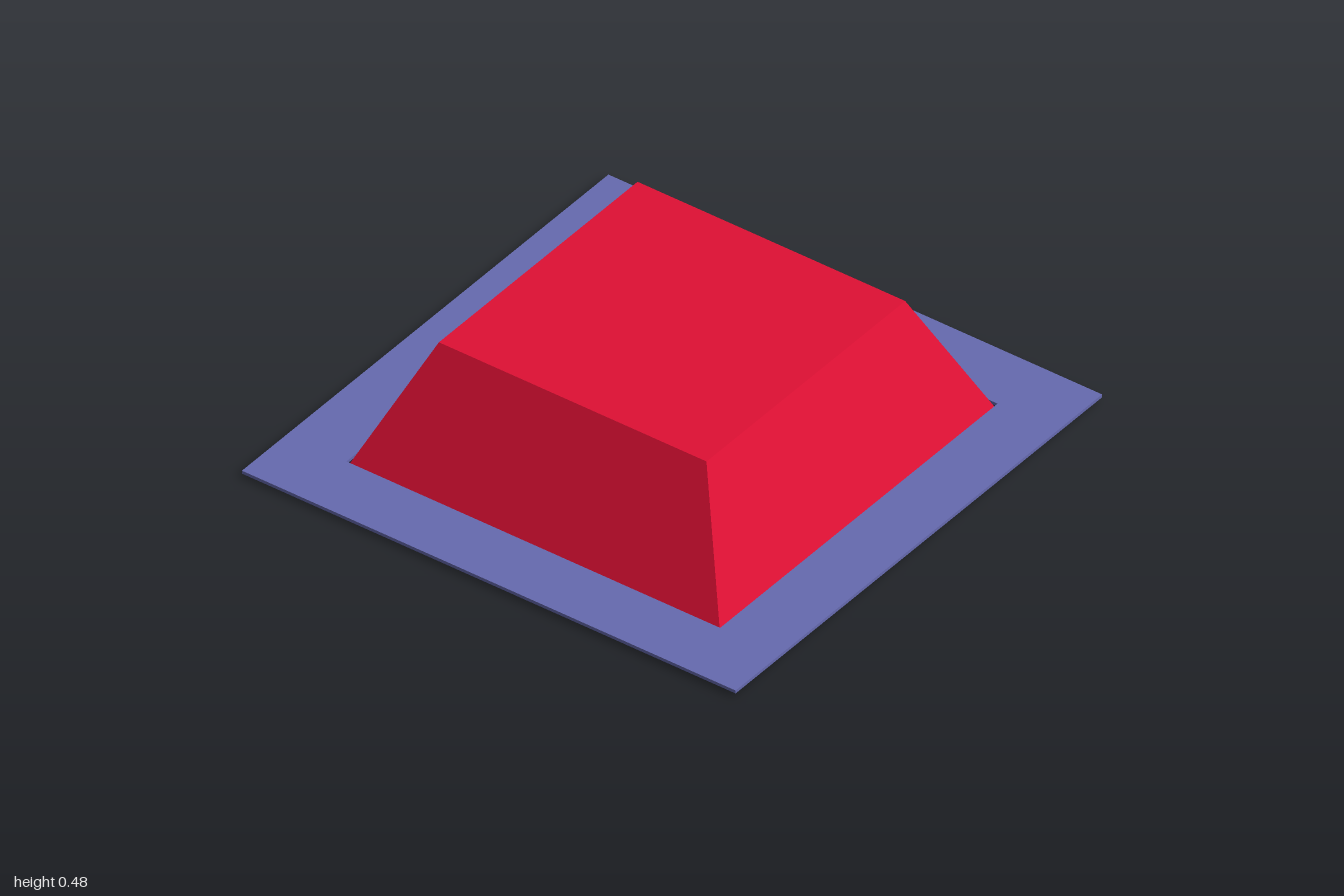
import * as THREE from 'three';

const square = (PathType, h) =>
  new PathType([[-h, -h], [h, -h], [h, h], [-h, h]].map(([x, y]) => new THREE.Vector2(x, y)));

export function createModel() {
  const group = new THREE.Group();

  // Tapered square block, standing on the ground
  const height = 0.478, baseHalf = 0.757, topHalf = 0.542;
  const blockGeometry = new THREE.CylinderGeometry(
    topHalf * Math.SQRT2, baseHalf * Math.SQRT2, height, 4, 1);
  blockGeometry.rotateY(Math.PI / 4);
  blockGeometry.translate(0, height / 2, 0);
  const block = new THREE.Mesh(blockGeometry,
    new THREE.MeshStandardMaterial({ color: 0xdf1034, flatShading: true }));
  block.name = 'taperedBlock';
  group.add(block);

  // Thin square brim with an opening for the block
  const shape = square(THREE.Shape, 1);
  shape.holes.push(square(THREE.Path, baseHalf));
  const brimGeometry = new THREE.ExtrudeGeometry(shape, { depth: 0.012, bevelEnabled: false });
  brimGeometry.rotateX(-Math.PI / 2);
  brimGeometry.translate(0, 0.015, 0);
  const brim = new THREE.Mesh(brimGeometry,
    new THREE.MeshStandardMaterial({ color: 0x666ab0, flatShading: true }));
  brim.name = 'brim';
  group.add(brim);

  return group;
}
